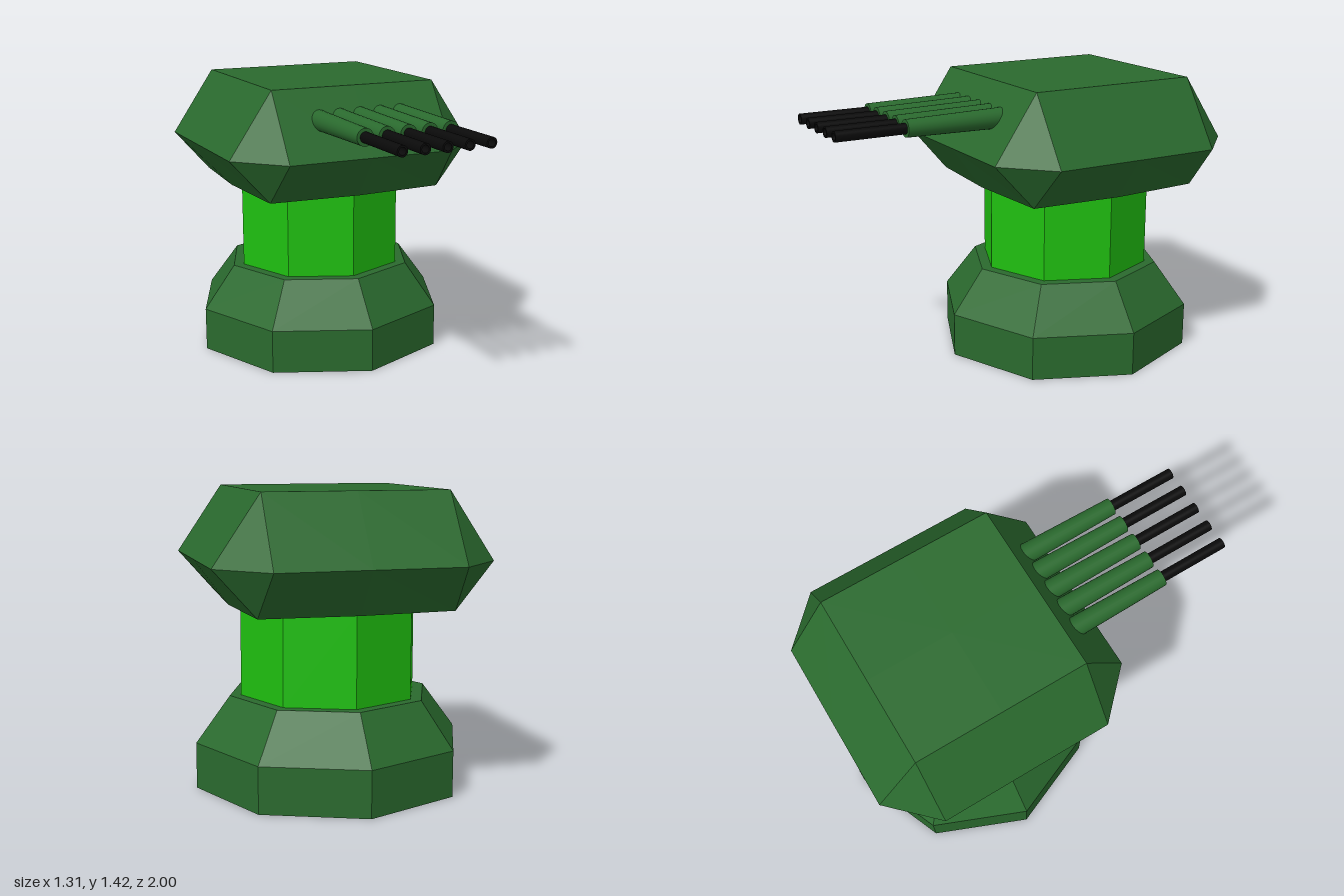
import * as THREE from 'three';

const green = new THREE.MeshStandardMaterial({ color: 0x2a6a2e, flatShading: true });
const smoothGreen = new THREE.MeshStandardMaterial({ color: 0x2a6a2e });
const bright = new THREE.MeshStandardMaterial({ color: 0x1fc010, flatShading: true });
const black = new THREE.MeshStandardMaterial({ color: 0x0a0a0a });

const CENTER_Z = -0.345;

function add(parent, name, geometry, material, x = 0, y = 0, z = 0) {
  const mesh = new THREE.Mesh(geometry, material);
  mesh.name = name;
  mesh.position.set(x, y, z);
  parent.add(mesh);
  return mesh;
}

// Faceted head: one quarter of the shell, turned four times about y
function headGeometry() {
  const top = 1.42, mid = 1.095, low = 0.875;
  const T0 = [0.435, top, 0], T1 = [0.435, top, 0.435], T2 = [0, top, 0.435];
  const M0 = [0.655, mid, 0], M1 = [0.655, mid, 0.435], M2 = [0.435, mid, 0.655], M3 = [0, mid, 0.655];
  const B0 = [0.49, low, 0], B1 = [0.46, low, 0.46], B2 = [0, low, 0.49];
  const CT = [0, top, 0], CB = [0, low, 0];
  const faces = [
    [CT, T2, T1, T0],                       // roof
    [M0, T0, T1, M1], [M2, T1, T2, M3],     // upper slopes
    [M1, T1, M2], [B1, M1, M2],             // corner facets
    [B0, M0, M1, B1], [B1, M2, M3, B2],     // lower slopes
    [CB, B0, B1, B2],                       // underside
  ];
  const positions = [];
  for (let q = 0; q < 4; q++) {
    const c = Math.cos(q * Math.PI / 2), s = Math.sin(q * Math.PI / 2);
    for (const f of faces) {
      for (let i = 1; i < f.length - 1; i++) {
        for (const [x, y, z] of [f[0], f[i], f[i + 1]]) positions.push(x * c - z * s, y, x * s + z * c);
      }
    }
  }
  const g = new THREE.BufferGeometry();
  g.setAttribute('position', new THREE.Float32BufferAttribute(positions, 3));
  g.computeVertexNormals();
  return g;
}

// Hollow rod along +z, starting at z = 0
function tubeGeometry(outer, inner, length) {
  const ring = new THREE.Shape().absarc(0, 0, outer, 0, Math.PI * 2);
  ring.holes.push(new THREE.Path().absarc(0, 0, inner, 0, Math.PI * 2, true));
  return new THREE.ExtrudeGeometry(ring, { depth: length, bevelEnabled: false, curveSegments: 20 });
}

export function createModel() {
  const model = new THREE.Group();
  model.name = 'gunTurret';

  // Octagonal base and column
  add(model, 'baseFoot', new THREE.CylinderGeometry(0.655, 0.655, 0.22, 8), green, 0, 0.11, CENTER_Z);
  add(model, 'baseTaper', new THREE.CylinderGeometry(0.49, 0.655, 0.22, 8), green, 0, 0.33, CENTER_Z);
  add(model, 'column', new THREE.CylinderGeometry(0.435, 0.435, 0.435, 8, 1, true), bright, 0, 0.6575, CENTER_Z);

  add(model, 'head', headGeometry(), green, 0, 0, CENTER_Z);

  // Row of five guns: sleeve widening into the head, hollow barrel in front
  const sleeve = new THREE.CylinderGeometry(0.042, 0.051, 0.555, 24).rotateX(Math.PI / 2);
  const barrel = tubeGeometry(0.026, 0.017, 0.345);
  for (let i = -2; i <= 2; i++) {
    const gun = new THREE.Group();
    gun.name = 'gun' + (i + 3);
    gun.position.set(i * 0.109, 1.272, 0);
    add(gun, 'sleeve', sleeve, smoothGreen, 0, 0, 0.3775);
    add(gun, 'barrel', barrel, black, 0, 0, 0.655);
    model.add(gun);
  }
  return model;
}
